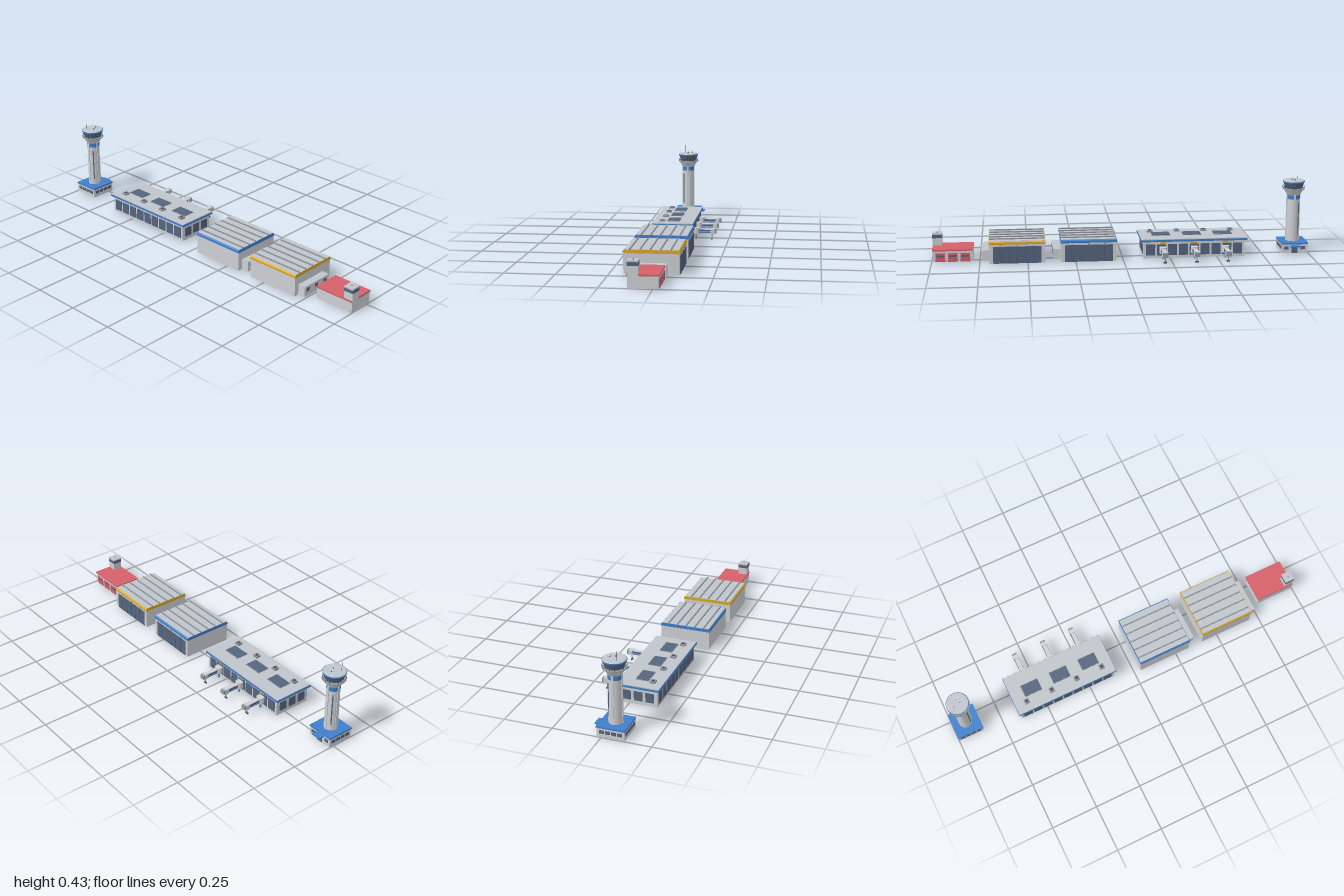
import * as THREE from 'three';

const mat = (name, color, side = THREE.FrontSide) => {
  const m = new THREE.MeshStandardMaterial({ color, side });
  m.name = name;
  return m;
};

export function createModel() {
  const M = {
    wall: mat('light grey wall', 0xcdd0d4),
    roof: mat('roof grey', 0xc0c5cb),
    trim: mat('mid grey trim', 0x9298a0),
    glass: mat('slate glass', 0x55657e),
    metal: mat('dark metal', 0x4a4f58),
    blue: mat('blue', 0x3f7fcb),
    yellow: mat('yellow', 0xd9a82c),
    red: mat('red', 0xd5606a),
  };
  const root = new THREE.Group();
  root.name = 'airport';

  const section = (name) => {
    const g = new THREE.Group();
    g.name = name;
    root.add(g);
    return g;
  };
  const add = (g, name, geo, m, x = 0, y = 0, z = 0) => {
    const mesh = new THREE.Mesh(geo, m);
    mesh.name = name;
    mesh.position.set(x, y, z);
    g.add(mesh);
    return mesh;
  };
  // box given by its minimum and maximum on each axis
  const box = (g, name, m, x0, x1, y0, y1, z0, z1) =>
    add(g, name, new THREE.BoxGeometry(x1 - x0, y1 - y0, z1 - z0), m,
      (x0 + x1) / 2, (y0 + y1) / 2, (z0 + z1) / 2);
  // upright cylinder or cone standing on y0
  const cyl = (g, name, m, rBottom, rTop, y0, y1, x = 0, z = 0, n = 32) =>
    add(g, name, new THREE.CylinderGeometry(rTop, rBottom, y1 - y0, n), m, x, (y0 + y1) / 2, z);

  // ---------- control tower ----------
  const t = section('controlTower');
  t.position.set(-0.928, 0, 0.046);
  box(t, 'base', M.wall, -0.069, 0.069, 0, 0.05, -0.069, 0.069);
  box(t, 'baseRoof', M.blue, -0.072, 0.072, 0.048, 0.056, -0.072, 0.072);
  for (let side = 0; side < 4; side++) {
    const g = new THREE.Group();
    g.name = 'baseWindows';
    g.rotation.y = side * Math.PI / 2;
    t.add(g);
    for (let i = 0; i < 4; i++) {
      if (side === 2 && (i === 1 || i === 2)) continue;
      const x = -0.045 + i * 0.03;
      box(g, 'baseWindow', M.glass, x - 0.012, x + 0.012, 0.02, 0.037, 0.068, 0.071);
    }
  }
  box(t, 'entranceDoor', M.glass, -0.016, 0.016, 0, 0.034, -0.071, -0.068);
  box(t, 'entranceCanopy', M.blue, -0.026, 0.026, 0.037, 0.043, -0.098, -0.066);
  cyl(t, 'shaft', M.wall, 0.035, 0.033, 0.05, 0.31);
  cyl(t, 'collar', M.blue, 0.0345, 0.0345, 0.285, 0.308);
  for (let i = 0; i < 4; i++) {
    const g = new THREE.Group();
    g.name = 'shaftRib';
    g.rotation.y = i * Math.PI / 2;
    t.add(g);
    box(g, 'pilaster', M.wall, -0.005, 0.005, 0.05, 0.31, 0.03, 0.037);
    const slit = new THREE.Group();
    slit.rotation.y = Math.PI / 4;
    slit.name = 'slitWindow';
    g.add(slit);
    if (i % 2 === 0) box(slit, 'stairWindow', M.glass, -0.003, 0.003, 0.09, 0.265, 0.03, 0.0355);
  }
  cyl(t, 'funnel', M.wall, 0.035, 0.054, 0.308, 0.34);
  cyl(t, 'gallery', M.trim, 0.059, 0.059, 0.34, 0.344);
  cyl(t, 'cabGlass', M.glass, 0.044, 0.054, 0.344, 0.377, 0, 0, 16);
  for (let i = 0; i < 16; i++) {
    const a = i * Math.PI / 8;
    const from = new THREE.Vector3(Math.sin(a) * 0.0445, 0.344, Math.cos(a) * 0.0445);
    const to = new THREE.Vector3(Math.sin(a) * 0.0545, 0.377, Math.cos(a) * 0.0545);
    add(t, 'cabMullion', new THREE.TubeGeometry(new THREE.LineCurve3(from, to), 1, 0.0012, 5), M.metal);
    cyl(t, 'railPost', M.metal, 0.0007, 0.0007, 0.344, 0.354, Math.sin(a) * 0.058, Math.cos(a) * 0.058, 5);
  }
  const rail = add(t, 'handRail', new THREE.TorusGeometry(0.058, 0.0008, 5, 32), M.metal, 0, 0.354, 0);
  rail.rotation.x = Math.PI / 2;
  cyl(t, 'roofBand', M.blue, 0.058, 0.059, 0.376, 0.383);
  cyl(t, 'cabRoof', M.roof, 0.057, 0.054, 0.383, 0.387);
  cyl(t, 'antenna', M.metal, 0.001, 0.0007, 0.386, 0.433, -0.024, 0.022, 6);
  add(t, 'antennaTip', new THREE.SphereGeometry(0.0018, 8, 6), M.red, -0.024, 0.433, 0.022);
  cyl(t, 'beaconBase', M.trim, 0.004, 0.004, 0.386, 0.396, 0.012, 0.001, 12);
  add(t, 'beaconDome', new THREE.SphereGeometry(0.004, 12, 8), M.wall, 0.012, 0.396, 0.001);
  cyl(t, 'radarMast', M.metal, 0.0022, 0.0022, 0.386, 0.398, 0, -0.022, 8);
  box(t, 'radarBar', M.wall, -0.018, 0.018, 0.396, 0.4, -0.026, -0.018);

  // ---------- terminal ----------
  const p = section('terminal');
  box(p, 'terminalWalls', M.wall, -0.648, -0.108, 0, 0.092, -0.056, 0.147);
  box(p, 'fascia', M.blue, -0.662, -0.095, 0.09, 0.1, -0.067, 0.158);
  box(p, 'terminalRoof', M.roof, -0.66, -0.097, 0.1, 0.104, -0.065, 0.156);
  for (let i = 0; i < 9; i++) {
    const x = -0.61 + i * 0.058;
    box(p, 'frontWindow', M.glass, x - 0.024, x + 0.024, 0.015, 0.075, 0.145, 0.15);
    box(p, 'backWindow', M.glass, x - 0.024, x + 0.024, 0.015, 0.075, -0.059, -0.054);
  }
  for (let i = 0; i < 3; i++) {
    const z = -0.014 + i * 0.06;
    for (const x of [-0.648, -0.108])
      box(p, 'endWindow', M.glass, x - 0.002, x + 0.002, 0.02, 0.07, z - 0.022, z + 0.022);
  }
  for (const x of [-0.595, -0.45, -0.305, -0.158]) {
    box(p, 'ventUnit', M.trim, x - 0.014, x + 0.014, 0.104, 0.114, 0.091, 0.119);
    cyl(p, 'ventFan', M.metal, 0.009, 0.009, 0.114, 0.1155, x, 0.105, 16);
  }
  for (const x of [-0.543, -0.377, -0.21]) {
    box(p, 'skylightFrame', M.trim, x - 0.05, x + 0.05, 0.104, 0.107, 0.012, 0.08);
    box(p, 'skylight', M.glass, x - 0.047, x + 0.047, 0.106, 0.109, 0.015, 0.077);
    // boarding bridge
    const b = new THREE.Group();
    b.name = 'boardingBridge';
    b.position.x = x;
    p.add(b);
    cyl(b, 'rotunda', M.wall, 0.02, 0.02, 0.03, 0.064, 0, -0.073, 20);
    cyl(b, 'rotundaColumn', M.trim, 0.006, 0.006, 0, 0.03, 0, -0.073, 10);
    box(b, 'corridor', M.wall, -0.011, 0.011, 0.035, 0.057, -0.16, -0.07);
    for (const s of [-1, 1]) {
      box(b, 'corridorGlass', M.glass, s * 0.0115 - 0.001, s * 0.0115 + 0.001, 0.045, 0.054, -0.152, -0.09);
      box(b, 'corridorStripe', M.blue, s * 0.0115 - 0.001, s * 0.0115 + 0.001, 0.037, 0.042, -0.152, -0.09);
    }
    box(b, 'bridgeHead', M.wall, -0.015, 0.015, 0.033, 0.06, -0.174, -0.153);
    box(b, 'dockingHood', M.trim, -0.013, 0.013, 0.035, 0.058, -0.184, -0.174);
    cyl(b, 'bridgeLeg', M.trim, 0.003, 0.003, 0.004, 0.034, 0, -0.16, 8);
    box(b, 'bridgeWheels', M.metal, -0.009, 0.009, 0, 0.007, -0.163, -0.157);
    box(b, 'gateSign', M.yellow, -0.014, 0.014, 0.075, 0.087, -0.061, -0.055);
  }

  // ---------- hangars ----------
  const hangar = (name, x0, colour) => {
    const h = section(name);
    h.position.x = x0;
    const w = 0.29;
    box(h, 'hangarWalls', M.wall, 0, w, 0, 0.104, -0.087, 0.182);
    // chamfered band round the roof, extruded along x
    const s = new THREE.Shape([[-0.184, 0.101], [-0.184, 0.112], [-0.178, 0.118], [0.083, 0.118],
      [0.089, 0.112], [0.089, 0.101]].map(([a, b]) => new THREE.Vector2(a, b)));
    const band = add(h, 'roofBand', new THREE.ExtrudeGeometry(s, { depth: w + 0.004, bevelEnabled: false }),
      colour, -0.002, 0, 0);
    band.rotation.y = Math.PI / 2;
    box(h, 'hangarRoof', M.roof, 0, w, 0.116, 0.119, -0.083, 0.178);
    for (let i = 0; i < 5; i++) {
      const z = 0.15 - i * 0.049;
      box(h, 'roofRib', M.trim, 0, w, 0.118, 0.125, z - 0.003, z + 0.003);
    }
    // sliding doors at the back
    box(h, 'hangarDoor', M.glass, 0.02, w - 0.02, 0, 0.09, -0.089, -0.086);
    for (let i = 1; i < 6; i++) {
      const x = 0.02 + i * (w - 0.04) / 6;
      box(h, 'doorSeam', M.metal, x - 0.001, x + 0.001, 0, 0.09, -0.09, -0.088);
    }
    for (const x of [0.06, 0.145, 0.23])
      box(h, 'doorLamp', M.trim, x - 0.006, x + 0.006, 0.094, 0.098, -0.094, -0.086);
    // side annex
    box(h, 'annex', M.wall, w, w + 0.04, 0, 0.053, -0.028, 0.155);
    box(h, 'annexRoof', M.roof, w, w + 0.042, 0.053, 0.056, -0.03, 0.157);
    for (const z of [0.129, 0.064, 0])
      box(h, 'annexWindow', M.glass, w + 0.039, w + 0.0415, 0.025, 0.044, z - 0.011, z + 0.011);
  };
  hangar('blueHangar', 0.037, M.blue);
  hangar('yellowHangar', 0.41, M.yellow);

  // ---------- fire station ----------
  const f = section('fireStation');
  box(f, 'stationWalls', M.wall, 0.786, 0.994, 0, 0.058, -0.026, 0.118);
  box(f, 'stationRoof', M.red, 0.783, 0.997, 0.058, 0.066, -0.029, 0.121);
  for (let i = 0; i < 3; i++) {
    const x = 0.825 + i * 0.065;
    box(f, 'garageDoor', M.red, x - 0.025, x + 0.025, 0, 0.046, -0.029, -0.025);
    box(f, 'garageWindow', M.glass, x - 0.019, x + 0.019, 0.026, 0.036, -0.03, -0.028);
  }
  box(f, 'lookoutTower', M.wall, 0.949, 0.999, 0, 0.124, 0.067, 0.116);
  box(f, 'lookoutWindows', M.glass, 0.948, 1, 0.105, 0.122, 0.066, 0.117);
  box(f, 'lookoutRoof', M.roof, 0.947, 1, 0.123, 0.13, 0.065, 0.118);
  cyl(f, 'warningLight', M.red, 0.003, 0.003, 0.13, 0.135, 0.974, 0.0915, 10);

  return root;
}
